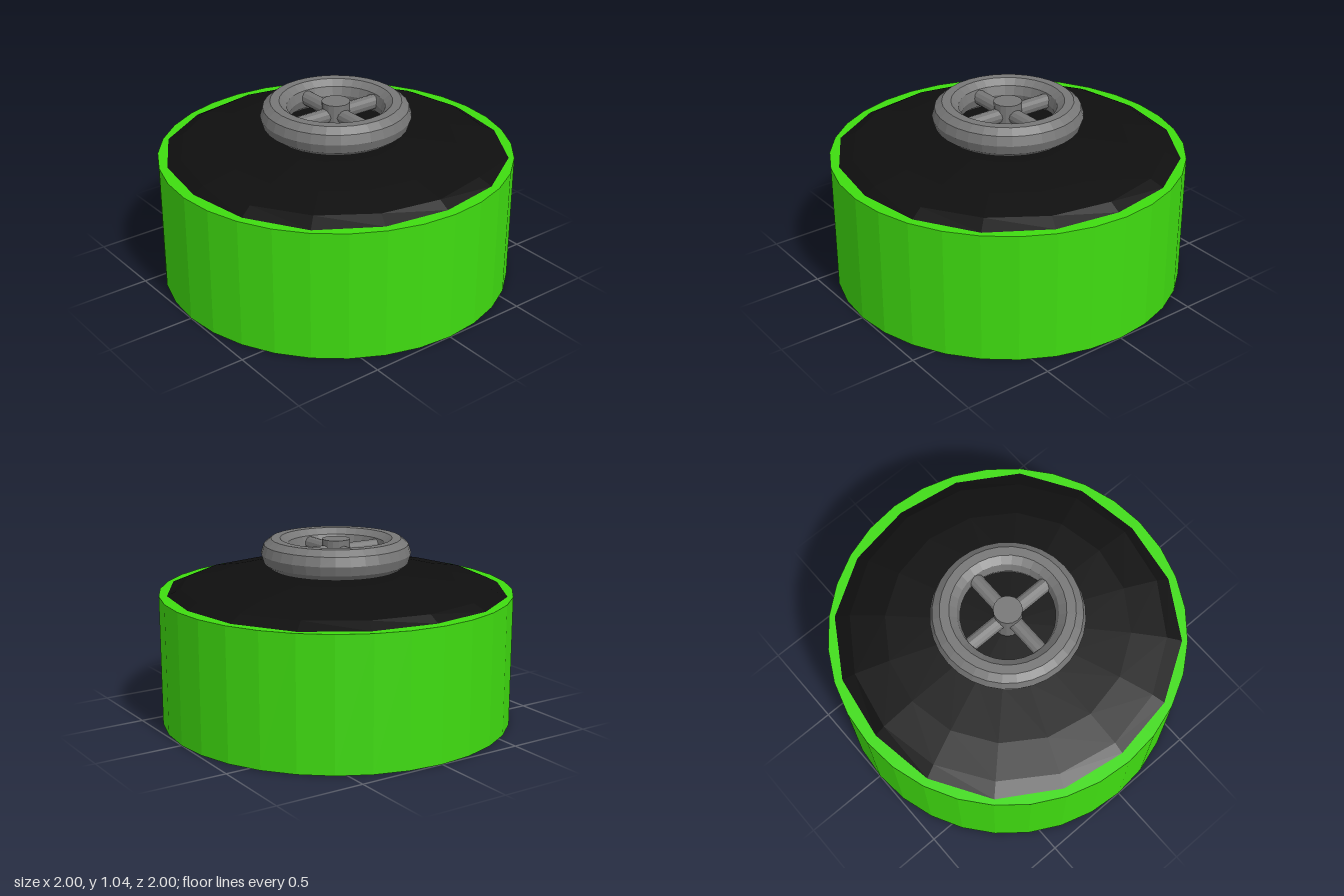
import * as THREE from 'three';

const paint = (color) => new THREE.MeshStandardMaterial({ color, flatShading: true });

export function createModel() {
  const model = new THREE.Group();
  model.name = 'drumWithHandwheel';
  const green = paint(0x3fdc10);
  const black = paint(0x0f0f0f);
  const grey = paint(0x777777);

  const add = (name, geometry, material, parent = model) => {
    const mesh = new THREE.Mesh(geometry, material);
    mesh.name = name;
    parent.add(mesh);
    return mesh;
  };

  // Drum body
  const bodyHeight = 0.742;
  add('body', new THREE.CylinderGeometry(1, 1, bodyHeight, 32), green).position.y = bodyHeight / 2;

  // Shallow domed lid, its rim swelling slightly on the diagonals
  const rim = 0.941;
  const profile = [[rim, 0.742], [0.88, 0.778], [0.68, 0.814], [0.37, 0.834], [0, 0.842]];
  const dome = new THREE.LatheGeometry(profile.map(([r, y]) => new THREE.Vector2(r, y)), 16);
  const p = dome.attributes.position;
  for (let i = 0; i < p.count; i++) {
    const x = p.getX(i), z = p.getZ(i);
    if (Math.hypot(x, z) < rim - 0.01) continue;
    const swell = 1 + 0.0145 * (1 - Math.cos(4 * Math.atan2(z, x)));
    p.setX(i, x * swell);
    p.setZ(i, z * swell);
  }
  dome.computeVertexNormals();
  add('domedLid', dome, black);

  // Handwheel: ring, hub and four spokes
  const wheel = new THREE.Group();
  wheel.name = 'handwheel';
  wheel.position.y = 0.955;
  model.add(wheel);

  const ring = new THREE.TorusGeometry(0.341, 0.082, 10, 32);
  ring.rotateX(Math.PI / 2);
  ring.scale(1, 1.08, 1);
  add('wheelRing', ring, grey, wheel);

  add('hub', new THREE.CylinderGeometry(0.08, 0.08, 0.215, 16), grey, wheel).position.y = -0.0295;

  for (let i = 0; i < 4; i++) {
    const spoke = new THREE.CylinderGeometry(0.042, 0.042, 0.24, 12);
    spoke.rotateZ(Math.PI / 2);
    spoke.translate(0.17, 0.005, 0);
    add('spoke', spoke, grey, wheel).rotation.y = i * Math.PI / 2;
  }

  return model;
}
